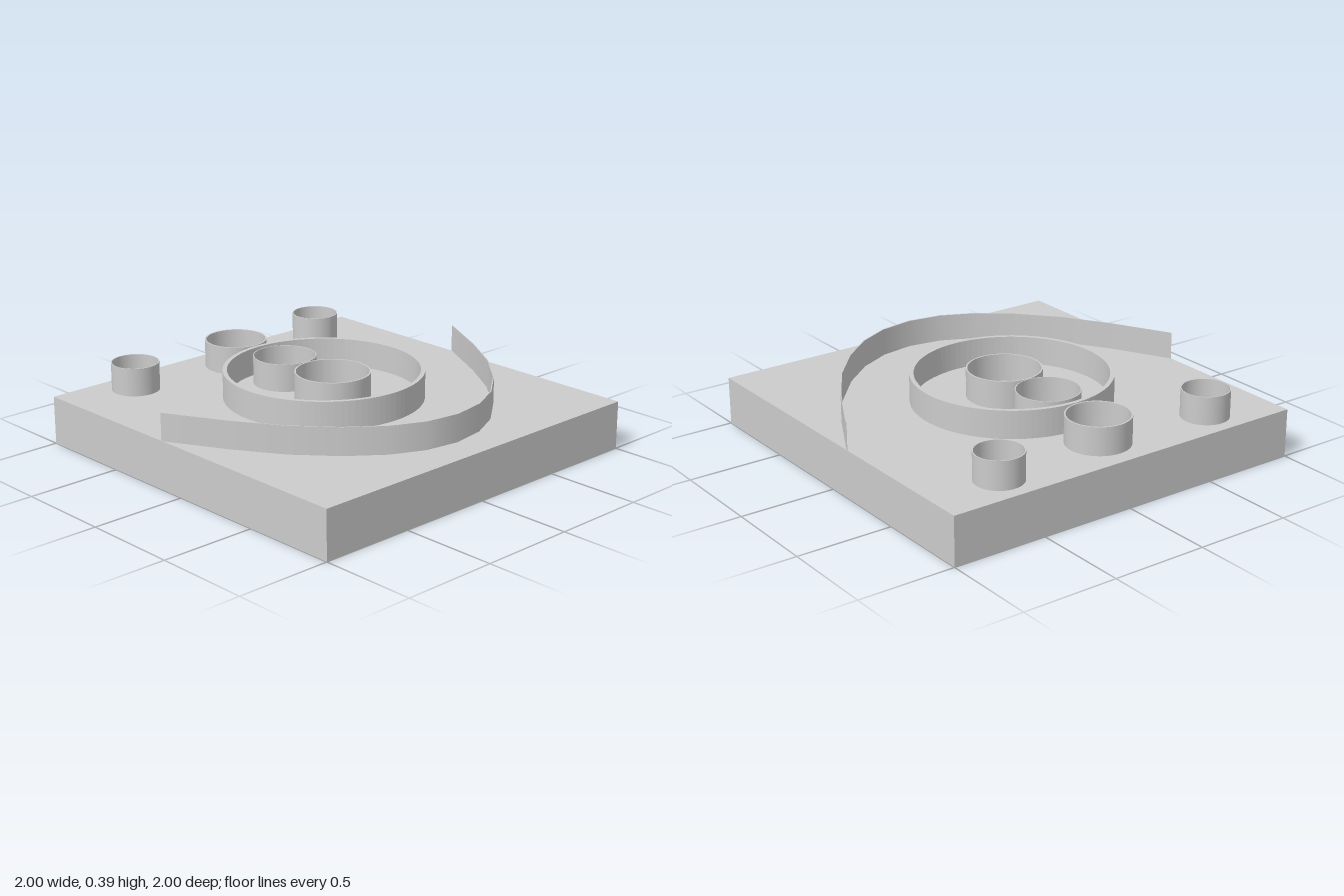
import * as THREE from 'three';

const TOP = 0.25; // upper face of the slab

export function createModel() {
  const group = new THREE.Group();
  const mat = new THREE.MeshStandardMaterial({ color: 0xcccccc, side: THREE.DoubleSide });
  const add = (geometry, name, x = 0, y = 0, z = 0) => {
    const mesh = new THREE.Mesh(geometry, mat);
    mesh.name = name;
    mesh.position.set(x, y, z);
    group.add(mesh);
    return mesh;
  };

  // Square base slab
  add(new THREE.BoxGeometry(2, TOP, 2), 'baseSlab', 0, TOP / 2, 0);

  // Upright ring with a wall thickness, standing on the slab
  const ring = (name, x, z, r, wall, top) => {
    const shape = new THREE.Shape().absarc(0, 0, r, 0, Math.PI * 2);
    shape.holes.push(new THREE.Path().absarc(0, 0, r - wall, 0, Math.PI * 2, true));
    const g = new THREE.ExtrudeGeometry(shape, { depth: top - TOP, bevelEnabled: false, curveSegments: 48 });
    g.rotateX(-Math.PI / 2);
    add(g, name, x, TOP, z);
  };
  ring('largeRing', 0, -0.08, 0.508, 0.022, 0.395);
  ring('centreRing', 0, -0.017, 0.192, 0.008, 0.395);
  ring('middleRing', 0, -0.373, 0.162, 0.005, 0.395);
  ring('backRing', 0, -0.757, 0.162, 0.008, 0.395);
  for (const s of [-1, 1]) {
    ring(s > 0 ? 'leftCornerRing' : 'rightCornerRing', s * 0.622, -0.815, 0.122, 0.005, 0.395);
  }

  // Flat discs lying on the slab
  [0.087, 0.335, 0.725].forEach((z, i) => {
    const g = new THREE.CircleGeometry(0.088, 40).rotateX(-Math.PI / 2);
    add(g, 'floorDisc' + (i + 1), 0, TOP + 0.001, z);
  });

  // Thin curved wall sweeping from edge to edge, reaching below the slab's top
  const half = [[1, -0.13], [0.84, 0.17], [0.69, 0.405], [0.52, 0.595], [0.35, 0.73], [0.18, 0.81]];
  const path = [...half, [0, 0.838], ...half.map(([x, z]) => [-x, z]).reverse()];
  const inner = path.map(([x, z]) => [x * 0.999, z - 0.007]).reverse();
  const outline = new THREE.Shape([...path, ...inner].map(([x, z]) => new THREE.Vector2(x, -z)));
  const wall = new THREE.ExtrudeGeometry(outline, { depth: 0.262, bevelEnabled: false });
  wall.rotateX(-Math.PI / 2);

  // Smooth normals along the wall's sides
  const pos = wall.attributes.position, nor = wall.attributes.normal;
  const v = new THREE.Vector3();
  for (let i = 0; i < pos.count; i++) {
    v.fromBufferAttribute(nor, i);
    if (Math.abs(v.y) > 0.5) continue;
    const x = pos.getX(i), sign = v.z < 0 ? -1 : 1;
    v.set(x * 1.95, 0, 1).normalize().multiplyScalar(sign);
    nor.setXYZ(i, v.x, v.y, v.z);
  }
  add(wall, 'curvedWall', 0, 0.13, 0);

  return group;
}
